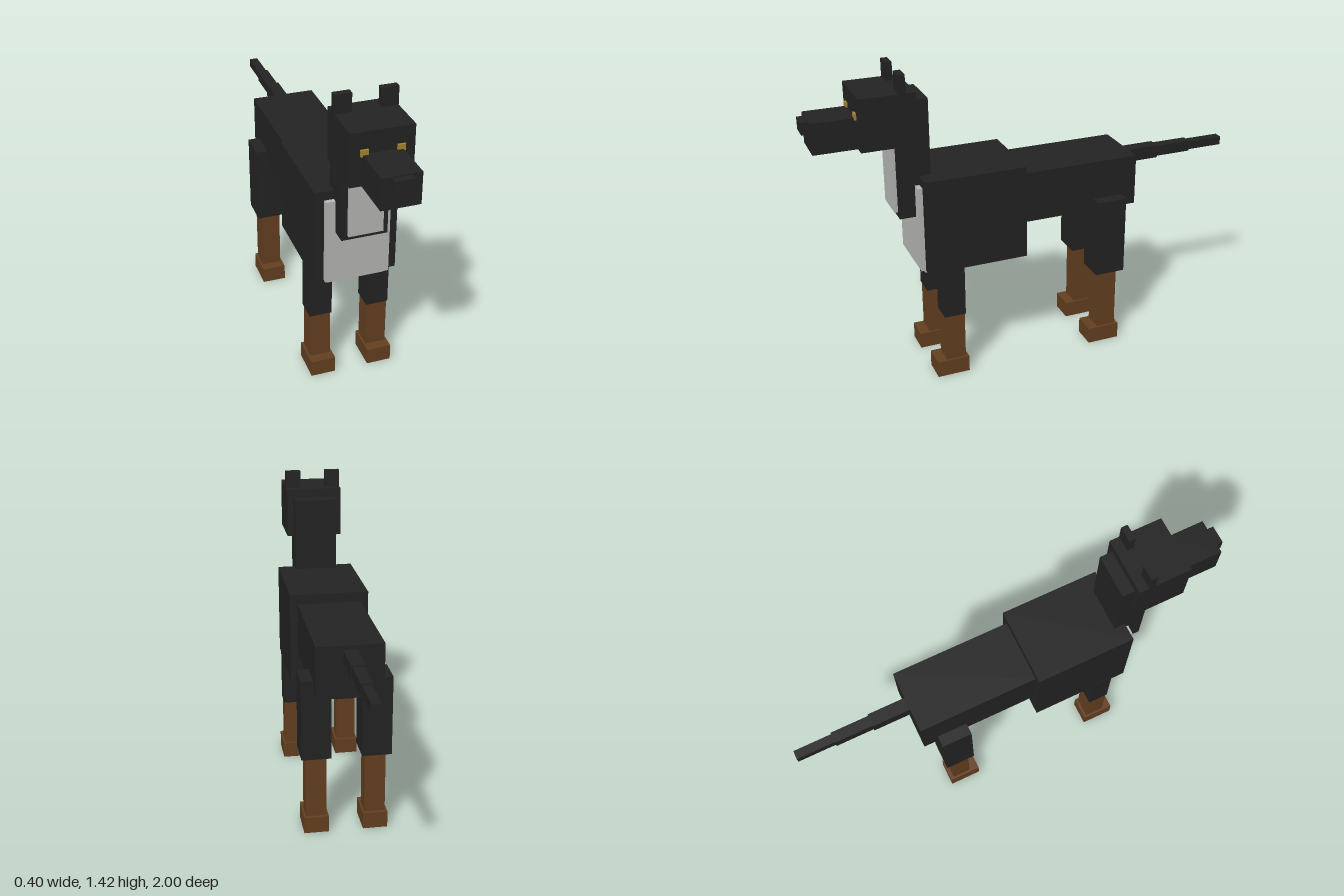
import * as THREE from 'three';

const material = (name, color) => {
  const m = new THREE.MeshStandardMaterial({ color });
  m.name = name;
  return m;
};

export function createModel() {
  const model = new THREE.Group();
  model.name = 'dog';
  const black = material('black coat', 0x232323);
  const brown = material('brown legs', 0x643f20);
  const grey = material('pale grey chest', 0xb7b7b5);
  const gold = material('gold eyes', 0xa8842f);

  // Box given by its x, y and z ranges
  const box = (name, mat, [x0, x1], [y0, y1], [z0, z1], parent = model) => {
    const mesh = new THREE.Mesh(new THREE.BoxGeometry(x1 - x0, y1 - y0, z1 - z0), mat);
    mesh.position.set((x0 + x1) / 2, (y0 + y1) / 2, (z0 + z1) / 2);
    mesh.name = name;
    parent.add(mesh);
  };
  // Box centred on x = 0
  const mid = (name, mat, half, y, z) => box(name, mat, [-half, half], y, z);

  // Body
  mid('chest', black, 0.181, [0.53, 0.96], [0.075, 0.535]);
  mid('hindBody', black, 0.146, [0.68, 0.915], [-0.475, 0.075]);
  mid('chestPatch', grey, 0.142, [0.53, 0.92], [0.535, 0.556]);
  mid('bellyPatch', grey, 0.127, [0.512, 0.53], [0.21, 0.535]);

  // Neck and head
  mid('neck', black, 0.1, [0.775, 1.3], [0.483, 0.628]);
  mid('throatPatch', grey, 0.075, [0.797, 1.115], [0.628, 0.643]);
  mid('head', black, 0.131, [1.113, 1.342], [0.54, 0.782]);
  mid('snout', black, 0.081, [1.113, 1.249], [0.782, 0.97]);
  mid('nose', black, 0.041, [1.19, 1.244], [0.97, 1]);

  // Tail, thinning in three steps
  [[0.03, -0.475, -0.65], [0.025, -0.65, -0.825], [0.02, -0.825, -1]].forEach(([r, z1, z0], i) => {
    mid(`tailSegment${i + 1}`, black, r, [0.866 - r, 0.866 + r], [z0, z1]);
  });

  // Paired parts
  for (const [side, s] of [['left', 1], ['right', -1]]) {
    const pair = (name, mat, [a, b], y, z, parent) =>
      box(`${side}${name}`, mat, s > 0 ? [a, b] : [-b, -a], y, z, parent);

    pair('Ear', black, [0.06, 0.131], [1.342, 1.422], [0.584, 0.614]);
    pair('Eye', gold, [0.058, 0.09], [1.242, 1.27], [0.782, 0.791]);

    const frontLeg = new THREE.Group();
    frontLeg.name = `${side}FrontLeg`;
    pair('FrontUpperLeg', black, [0.081, 0.182], [0.298, 0.56], [0.372, 0.47], frontLeg);
    pair('FrontLowerLeg', brown, [0.086, 0.178], [0.076, 0.298], [0.376, 0.466], frontLeg);
    pair('FrontPaw', brown, [0.077, 0.188], [0, 0.076], [0.363, 0.512], frontLeg);

    const hindLeg = new THREE.Group();
    hindLeg.name = `${side}HindLeg`;
    pair('Thigh', black, [0.067, 0.199], [0.368, 0.735], [-0.405, -0.264], hindLeg);
    pair('HindLowerLeg', brown, [0.086, 0.178], [0.076, 0.368], [-0.377, -0.288], hindLeg);
    pair('HindPaw', brown, [0.077, 0.188], [0, 0.076], [-0.393, -0.242], hindLeg);
    model.add(frontLeg, hindLeg);
  }
  return model;
}
